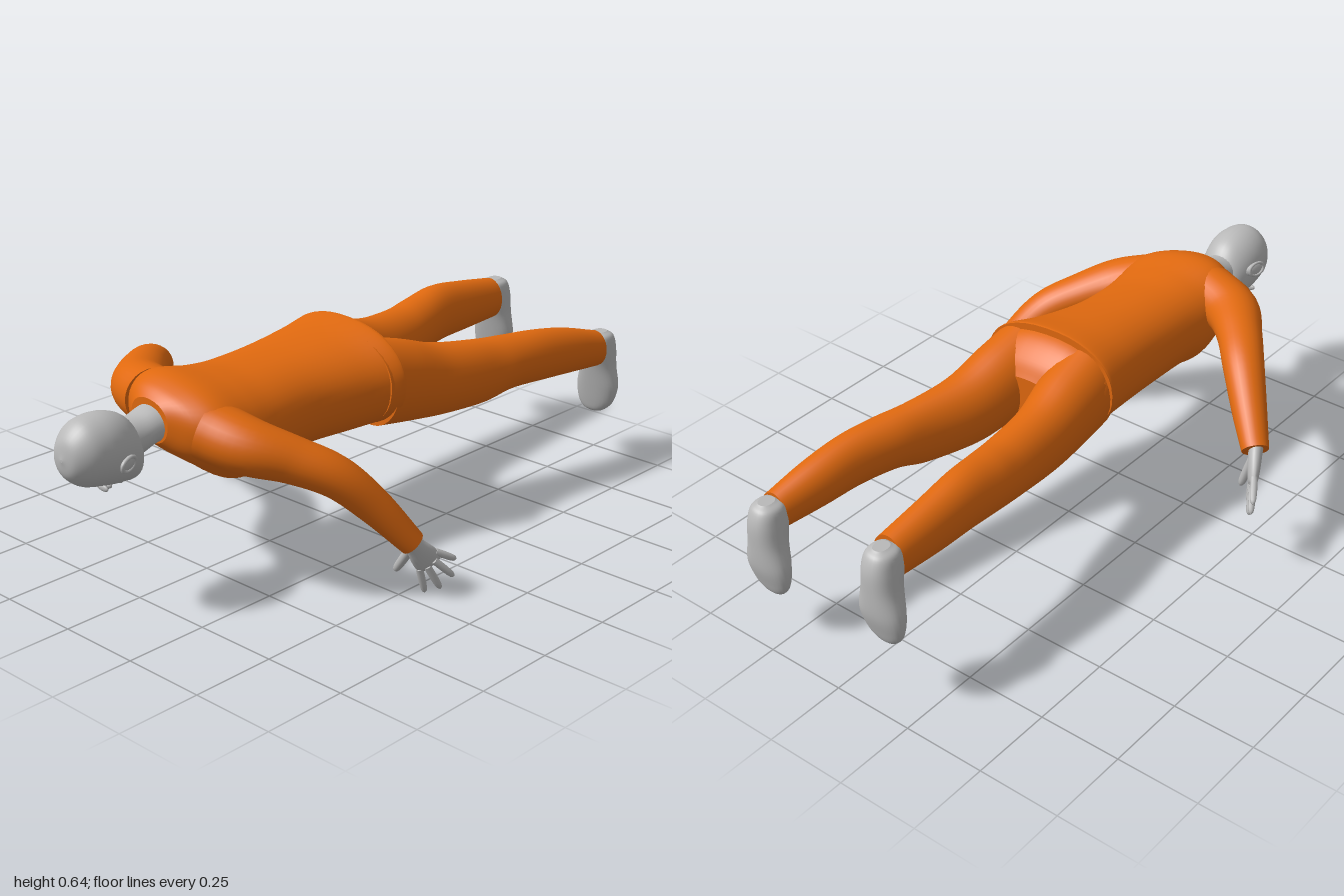
import * as THREE from 'three';

const V = (a) => new THREE.Vector3(a[0], a[1], a[2]);

const suit = new THREE.MeshStandardMaterial({ color: 0xe0690f });
suit.name = 'orange suit';
const skin = new THREE.MeshStandardMaterial({ color: 0xb9b9b9 });
skin.name = 'grey skin';

// Smooth body through stations [x, y, z, rx, ry, roll]; axis fixes the ring direction
function loft(name, material, stations, { up = [0, 1, 0], axis = null, sides = 28, power = 2, sub = 6 } = {}) {
  const path = new THREE.CatmullRomCurve3(stations.map(V), false, 'catmullrom', 0.5);
  const size = new THREE.CatmullRomCurve3(
    stations.map((s) => new THREE.Vector3(s[3], s[4], s[5] || 0)), false, 'catmullrom', 0.5);
  const steps = (stations.length - 1) * sub;
  const pos = [], index = [], upV = V(up);
  for (let i = 0; i <= steps; i++) {
    const c = path.getPoint(i / steps), r = size.getPoint(i / steps);
    const t = axis ? V(axis) : path.getTangent(i / steps);
    const s = upV.clone().cross(t).normalize();
    const u = t.clone().cross(s).normalize();
    s.applyAxisAngle(t, r.z);
    u.applyAxisAngle(t, r.z);
    for (let j = 0; j < sides; j++) {
      const a = (j / sides) * Math.PI * 2, co = Math.cos(a), si = Math.sin(a);
      const px = Math.sign(co) * Math.abs(co) ** (2 / power) * Math.max(r.x, 0.001);
      const py = Math.sign(si) * Math.abs(si) ** (2 / power) * Math.max(r.y, 0.001);
      const p = c.clone().addScaledVector(s, px).addScaledVector(u, py);
      pos.push(p.x, p.y, p.z);
      if (i < steps) {
        const k = i * sides + j, n = i * sides + ((j + 1) % sides);
        index.push(k, n, k + sides, n, n + sides, k + sides);
      }
    }
  }
  // end caps with their own vertices
  for (const end of [0, steps]) {
    const base = pos.length / 3, c = path.getPoint(end / steps);
    pos.push(...pos.slice(end * sides * 3, (end + 1) * sides * 3), c.x, c.y, c.z);
    for (let j = 0; j < sides; j++) {
      const k = base + j, n = base + ((j + 1) % sides);
      index.push(base + sides, end ? k : n, end ? n : k);
    }
  }
  const g = new THREE.BufferGeometry();
  g.setAttribute('position', new THREE.Float32BufferAttribute(pos, 3));
  g.setIndex(index);
  g.computeVertexNormals();
  const mesh = new THREE.Mesh(g, material);
  mesh.name = name;
  return mesh;
}

function ellipsoid(name, material, [x, y, z], [rx, ry, rz]) {
  const m = new THREE.Mesh(new THREE.SphereGeometry(1, 20, 14), material);
  m.name = name;
  m.position.set(x, y, z);
  m.scale.set(rx, ry, rz);
  return m;
}

// Open hand: a flat palm with four fingers and a thumb
function makeHand(name, wrist, tips, thumb) {
  const hand = new THREE.Group();
  hand.name = name;
  const w = V(wrist), first = V(tips[0]), last = V(tips[3]);
  const end = w.clone().lerp(first.clone().add(last).multiplyScalar(0.5), 0.6);
  const normal = end.clone().sub(w).cross(first.clone().sub(last)).normalize();
  const at = (t) => w.clone().lerp(end, t).toArray();
  hand.add(loft('palm', skin, [
    [...at(-0.25), 0.026, 0.022], [...at(0.1), 0.028, 0.02], [...at(0.55), 0.037, 0.018],
    [...at(0.95), 0.039, 0.014], [...at(1.1), 0.028, 0.006],
  ], { up: normal.toArray(), sides: 18, sub: 4 }));
  [...tips, thumb].forEach((tip, i) => {
    const isThumb = i === 4, t = V(tip);
    const root = w.clone().lerp(t, isThumb ? 0.2 : 0.5);
    const p = (k) => root.clone().lerp(t, k).toArray();
    const r = isThumb ? 0.013 : 0.0105;
    hand.add(loft(isThumb ? 'thumb' : 'finger', skin, [
      [...p(0), r, r], [...p(0.5), r, r], [...p(0.88), r * 0.8, r * 0.8], [...p(1), 0.002, 0.002],
    ], { up: normal.toArray(), sides: 10, sub: 3 }));
  });
  return hand;
}

// Foot pointing down, heel up, sole towards the back
function makeFoot(name, dx, dy, dz) {
  const st = [
    [0.31, 0.435, -0.912, 0.02, 0.025], [0.308, 0.42, -0.912, 0.042, 0.046], [0.305, 0.38, -0.918, 0.05, 0.056],
    [0.301, 0.32, -0.928, 0.056, 0.05], [0.297, 0.25, -0.936, 0.071, 0.041], [0.291, 0.195, -0.937, 0.062, 0.028],
    [0.285, 0.165, -0.937, 0.038, 0.018], [0.283, 0.155, -0.937, 0.012, 0.006],
  ];
  return loft(name, skin, st.map(([x, y, z, a, b]) => [x + dx, y + dy, z + dz, a, b]),
    { up: [0, 0, 1], axis: [0, -1, 0], power: 2.3 });
}

function makeHead() {
  const head = new THREE.Group();
  head.name = 'head';
  head.position.set(0.012, 0.48, 0.85);
  head.rotation.z = -0.17;
  // skull from crown to chin, face turned down
  head.add(loft('skull', skin, [
    [0, 0.006, 0.15, 0.004, 0.004], [0, 0.008, 0.138, 0.045, 0.052], [0, 0.01, 0.1, 0.077, 0.088],
    [0, 0.008, 0.05, 0.089, 0.1], [0, 0, 0, 0.087, 0.103], [0, -0.014, -0.045, 0.076, 0.096],
    [0, -0.036, -0.078, 0.06, 0.078], [0, -0.06, -0.098, 0.038, 0.048], [0, -0.07, -0.103, 0.012, 0.014],
  ], { axis: [0, 0, -1], sides: 32 }));
  // facial features
  head.add(ellipsoid('nose', skin, [0, -0.106, -0.005], [0.014, 0.028, 0.017]));
  head.add(ellipsoid('noseBridge', skin, [0, -0.097, 0.016], [0.009, 0.014, 0.028]));
  head.add(ellipsoid('upperLip', skin, [0, -0.108, -0.043], [0.024, 0.009, 0.007]));
  head.add(ellipsoid('lowerLip', skin, [0, -0.106, -0.054], [0.02, 0.009, 0.007]));
  head.add(ellipsoid('chin', skin, [0, -0.1, -0.078], [0.025, 0.022, 0.018]));
  for (const s of [-1, 1]) {
    head.add(ellipsoid('eye', skin, [s * 0.034, -0.089, 0.018], [0.016, 0.01, 0.009]));
    head.add(ellipsoid('brow', skin, [s * 0.034, -0.089, 0.037], [0.025, 0.011, 0.007]));
    const ear = ellipsoid('ear', skin, [s * 0.09, -0.003, 0.002], [0.009, 0.021, 0.034]);
    ear.rotation.y = s * 0.25;
    head.add(ear);
    const rim = new THREE.Mesh(new THREE.TorusGeometry(0.022, 0.005, 8, 20), skin);
    rim.name = 'earRim';
    rim.position.set(s * 0.096, -0.003, 0.006);
    rim.rotation.y = Math.PI / 2 + s * 0.25;
    rim.scale.set(1.3, 0.9, 1);
    head.add(rim);
  }
  return head;
}

export function createModel() {
  const model = new THREE.Group();
  model.name = 'proneFigure';
  const back = { axis: [0, 0, -1] };

  model.add(makeHead());
  model.add(loft('neck', skin, [
    [0.01, 0.482, 0.82, 0.058, 0.055], [0.012, 0.488, 0.76, 0.057, 0.054],
    [0.015, 0.505, 0.71, 0.061, 0.052], [0.02, 0.51, 0.66, 0.07, 0.055],
  ], back));

  // jacket
  model.add(loft('jacketBody', suit, [
    [0.016, 0.515, 0.705, 0.072, 0.06, 0.15], [0.03, 0.51, 0.665, 0.145, 0.088, 0.2],
    [0.035, 0.495, 0.6, 0.195, 0.118, 0.2], [0.032, 0.457, 0.5, 0.188, 0.146, 0.18],
    [0.03, 0.46, 0.4, 0.177, 0.137, 0.15], [0.03, 0.466, 0.25, 0.177, 0.138, 0.12],
    [0.042, 0.476, 0.1, 0.2, 0.144, 0.1], [0.054, 0.488, 0, 0.226, 0.149, 0.07],
    [0.055, 0.488, -0.02, 0.228, 0.15, 0.07],
  ], { ...back, sides: 40, power: 2.25 }));
  model.add(loft('rightSleeve', suit, [
    [-0.08, 0.525, 0.6, 0.085, 0.085], [-0.19, 0.52, 0.555, 0.083, 0.077], [-0.285, 0.52, 0.455, 0.068, 0.06],
    [-0.365, 0.49, 0.36, 0.061, 0.056], [-0.45, 0.415, 0.27, 0.051, 0.05], [-0.522, 0.348, 0.198, 0.04, 0.038],
  ]));
  model.add(loft('leftSleeve', suit, [
    [0.13, 0.49, 0.6, 0.09, 0.085], [0.24, 0.46, 0.56, 0.085, 0.077], [0.33, 0.425, 0.485, 0.07, 0.064],
    [0.412, 0.375, 0.405, 0.062, 0.058], [0.475, 0.285, 0.325, 0.052, 0.05], [0.54, 0.17, 0.243, 0.04, 0.037],
  ]));

  // trousers
  model.add(loft('trouserSeat', suit, [
    [0.055, 0.486, 0.03, 0.218, 0.142, 0.07], [0.055, 0.47, -0.04, 0.219, 0.14, 0.07],
    [0.058, 0.452, -0.095, 0.19, 0.115, 0.07], [0.06, 0.445, -0.125, 0.12, 0.075, 0.07],
  ], { ...back, sides: 36, power: 2.25 }));
  model.add(loft('rightTrouserLeg', suit, [
    [-0.058, 0.482, 0, 0.105, 0.135], [-0.066, 0.457, -0.12, 0.101, 0.125], [-0.083, 0.437, -0.25, 0.088, 0.107],
    [-0.097, 0.44, -0.4, 0.083, 0.094], [-0.11, 0.453, -0.5, 0.08, 0.09], [-0.122, 0.466, -0.62, 0.07, 0.09],
    [-0.126, 0.46, -0.75, 0.062, 0.081], [-0.125, 0.452, -0.9, 0.053, 0.066],
  ], back));
  model.add(loft('leftTrouserLeg', suit, [
    [0.17, 0.473, 0, 0.105, 0.133], [0.18, 0.449, -0.12, 0.101, 0.125], [0.195, 0.422, -0.25, 0.09, 0.111],
    [0.231, 0.415, -0.4, 0.074, 0.1], [0.255, 0.424, -0.5, 0.073, 0.085], [0.28, 0.421, -0.62, 0.066, 0.081],
    [0.295, 0.407, -0.75, 0.061, 0.073], [0.312, 0.385, -0.885, 0.047, 0.058],
  ], back));

  // feet and hands
  model.add(makeFoot('leftFoot', 0, 0, 0));
  model.add(makeFoot('rightFoot', -0.443, 0.075, -0.02));
  model.add(makeHand('rightHand', [-0.525, 0.345, 0.195],
    [[-0.605, 0.27, 0.068], [-0.592, 0.22, 0.082], [-0.568, 0.19, 0.11], [-0.543, 0.205, 0.145]],
    [-0.49, 0.22, 0.18]));
  model.add(makeHand('leftHand', [0.543, 0.165, 0.24],
    [[0.597, 0.1, 0.125], [0.603, 0.055, 0.14], [0.578, 0.018, 0.165], [0.543, 0.004, 0.19]],
    [0.472, 0.062, 0.235]));
  return model;
}
